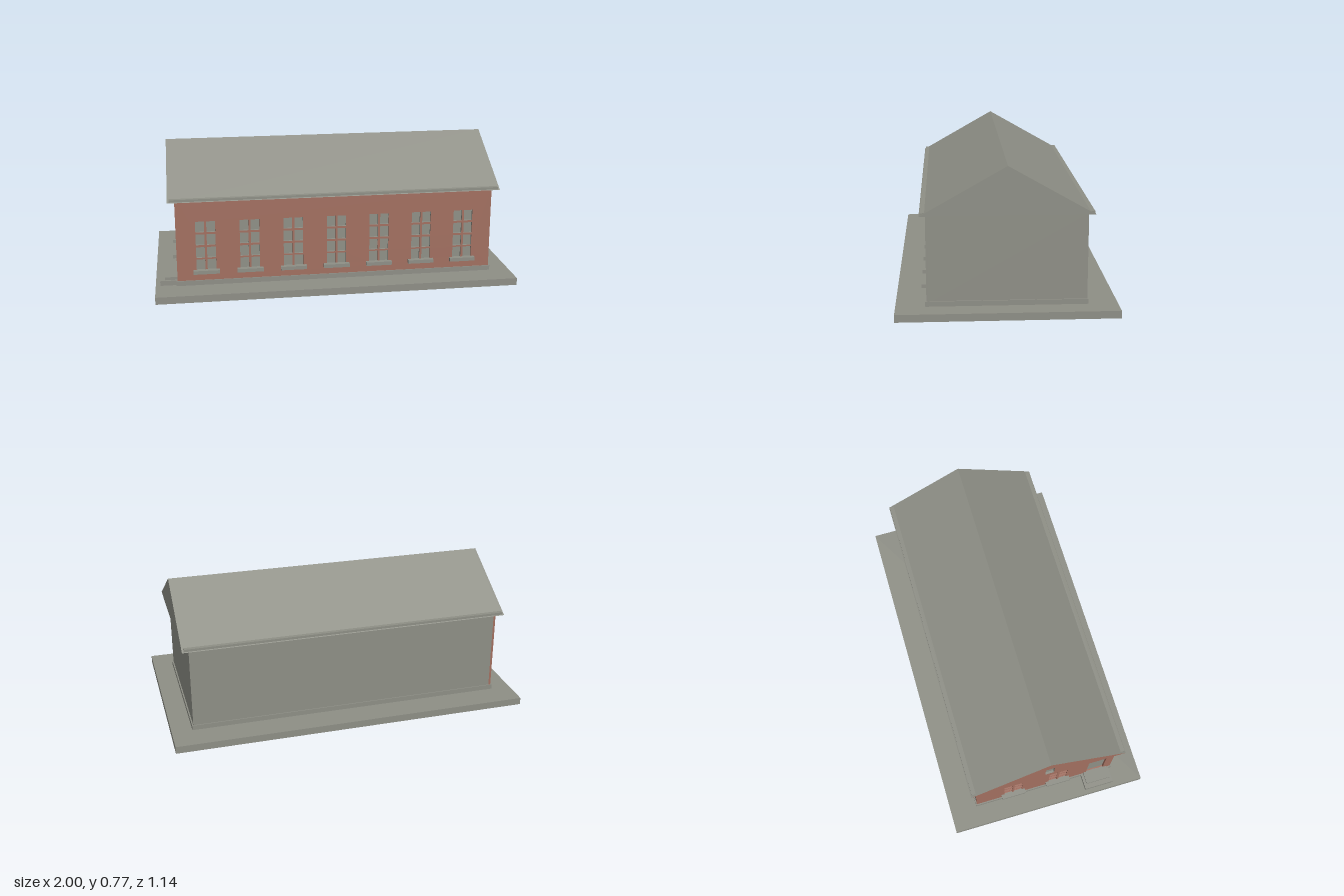
import * as THREE from 'three';

export function createModel() {
  const model = new THREE.Group();
  model.name = 'longHall';
  const grey = new THREE.MeshStandardMaterial({ color: 0x8e8f86 });
  grey.name = 'plain grey';
  const brick = new THREE.MeshStandardMaterial({ color: 0xa26f60 });
  brick.name = 'red brick';
  const DEPTH = 0.012; // how far panes and door sit behind the brick face

  // Box given by its minimum and maximum along each axis
  function box(name, x0, x1, y0, y1, z0, z1, parent = model) {
    const mesh = new THREE.Mesh(new THREE.BoxGeometry(x1 - x0, y1 - y0, z1 - z0), grey);
    mesh.position.set((x0 + x1) / 2, (y0 + y1) / 2, (z0 + z1) / 2);
    mesh.name = name;
    parent.add(mesh);
    return mesh;
  }

  const polygon = (points) => new THREE.Shape(points.map(([x, y]) => new THREE.Vector2(x, y)));
  const rect = (x0, x1, y0, y1) => polygon([[x0, y0], [x1, y0], [x1, y1], [x0, y1]]);

  // Eight panes cut through a brick face, four rows of two
  function cutWindow(shape, cx) {
    for (const y of [0.126, 0.196, 0.269, 0.342]) {
      shape.holes.push(rect(cx - 0.054, cx - 0.006, y, y + 0.061));
      shape.holes.push(rect(cx + 0.006, cx + 0.054, y, y + 0.061));
    }
  }

  // Brick face whose outer surface lies at local z = out
  function facade(name, shape, out, sideMaterial, parent) {
    const geometry = new THREE.ExtrudeGeometry(shape, { depth: DEPTH, bevelEnabled: false });
    const mesh = new THREE.Mesh(geometry, [brick, sideMaterial]);
    mesh.position.z = out - DEPTH;
    mesh.name = name;
    parent.add(mesh);
  }

  function sill(cx, out, parent) {
    box('windowSill', cx - 0.072, cx + 0.072, 0.108, 0.128, out - 0.005, out + 0.025, parent);
  }

  // Ground slab, plinth and the plain building body
  box('groundSlab', -1, 1, 0, 0.04, -0.571, 0.571);
  box('plinth', -0.887, 0.887, 0.04, 0.067, -0.418, 0.418);
  box('body', -0.88 + DEPTH, 0.88, 0.06, 0.522, -0.412, 0.412 - DEPTH);

  // Long front with seven windows
  const front = new THREE.Group();
  front.name = 'frontWall';
  const frontShape = rect(-0.88 + DEPTH, 0.88, 0.067, 0.522);
  for (let i = -3; i <= 3; i++) {
    cutWindow(frontShape, i * 0.24);
    sill(i * 0.24, 0.412, front);
  }
  facade('frontBrick', frontShape, 0.412, grey, front);
  model.add(front);

  // Entrance end, turned so that local x runs along z and faces -x
  const end = new THREE.Group();
  end.name = 'entranceEnd';
  end.rotation.y = -Math.PI / 2;
  const endShape = rect(-0.412, 0.412, 0.067, 0.522);
  for (const z of [-0.19, 0.08]) {
    cutWindow(endShape, z);
    sill(z, 0.88, end);
  }
  endShape.holes.push(rect(0.262, 0.366, 0.083, 0.365)); // doorway
  facade('entranceBrick', endShape, 0.88, brick, end);

  // Brick gable with an attic window
  const roofPoints = [[-0.443, 0.521], [0.443, 0.521], [0, 0.773]];
  const gable = polygon(roofPoints);
  gable.holes.push(rect(-0.025, 0.025, 0.57, 0.68));
  facade('gableBrick', gable, 0.918, grey, end);

  // Roof prism running the length of the building
  const roof = new THREE.Mesh(
    new THREE.ExtrudeGeometry(polygon(roofPoints), { depth: 1.836 - DEPTH, bevelEnabled: false }), grey);
  roof.position.z = -0.918;
  roof.name = 'roof';
  end.add(roof);
  model.add(end);

  // Square ledges along both eaves
  for (const s of [-1, 1]) {
    const ledge = box('eaveLedge', -0.908, 0.908, 0.524, 0.537, 0.41, 0.438);
    ledge.position.z *= s;
  }

  // Entrance steps
  box('lowerStep', -0.975, -0.87, 0.04, 0.067, 0.23, 0.4);
  box('upperStep', -0.948, -0.87, 0.067, 0.083, 0.245, 0.388);

  return model;
}
